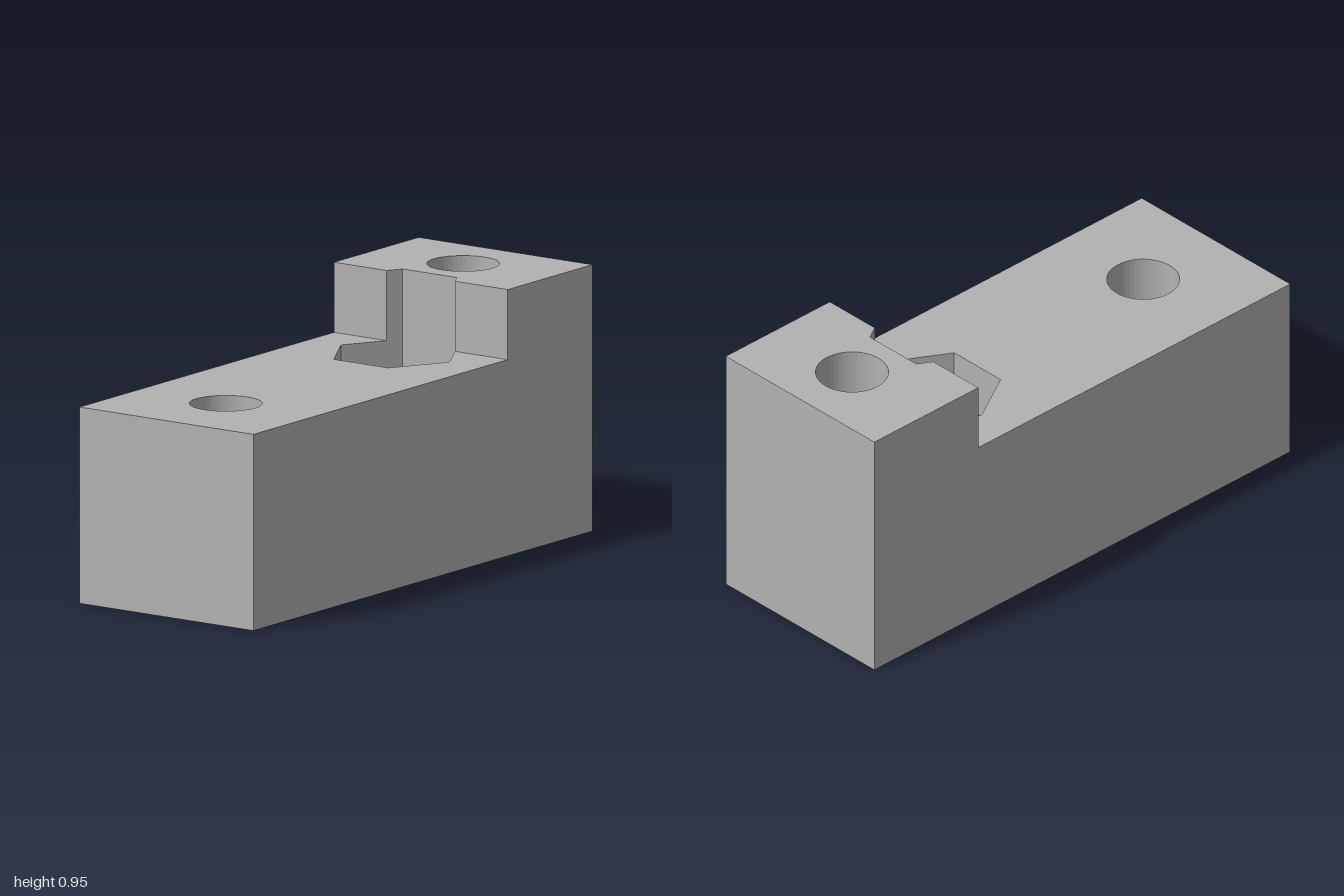
import * as THREE from 'three';

const W = 0.375;          // half depth of the block
const LOW = 0.7, HIGH = 0.95;  // ledge and raised end heights
const STEP = 0.5;         // x where the raised end begins
const HOLE = 0.127, HEX = 0.234; // bolt hole and nut pocket radii
const NUT_A = 0.35, NUT_B = 0.75, BOLT = -0.65; // hole centres in x
const FLOOR_A = 0.5, FLOOR_B = 0.175; // nut pocket floor heights

// Counter-clockwise ring seen from above
function ring(cx, r, n, start = 0) {
  return Array.from({ length: n }, (_, i) => {
    const a = start + (i / n) * Math.PI * 2;
    return new THREE.Vector2(cx + r * Math.cos(a), r * Math.sin(a));
  });
}
const circle = (cx) => ring(cx, HOLE, 48);
const hexagon = (cx) => ring(cx, HEX, 6, Math.PI / 6);
const pts = (list) => list.map(([x, y]) => new THREE.Vector2(x, y));

// Flat horizontal face with openings
function cap(outline, holes, y, up) {
  const shape = new THREE.Shape(outline);
  shape.holes = holes.map((h) => new THREE.Path(h));
  return new THREE.ShapeGeometry(shape).rotateX(up ? -Math.PI / 2 : Math.PI / 2).translate(0, y, 0);
}

// Vertical walls facing the left-hand side of a path
function walls(path, y0, y1, closed = true) {
  const pos = [];
  const count = closed ? path.length : path.length - 1;
  for (let i = 0; i < count; i++) {
    const a = path[i], b = path[(i + 1) % path.length];
    const a0 = [a.x, y0, -a.y], a1 = [a.x, y1, -a.y];
    const b0 = [b.x, y0, -b.y], b1 = [b.x, y1, -b.y];
    pos.push(...b0, ...a0, ...a1, ...b0, ...a1, ...b1);
  }
  const g = new THREE.BufferGeometry();
  g.setAttribute('position', new THREE.Float32BufferAttribute(pos, 3));
  g.computeVertexNormals();
  return g;
}

// Stepped side silhouette
function profile(s) {
  return new THREE.ShapeGeometry(new THREE.Shape(pts([
    [-s, 0], [s, 0], [s, HIGH], [s * STEP, HIGH], [s * STEP, LOW], [-s, LOW],
  ])));
}

export function createModel() {
  const model = new THREE.Group();
  model.name = 'steppedClampBlock';
  const grey = new THREE.MeshStandardMaterial({ color: 0xb2b2b2 });
  grey.name = 'plain grey';
  const add = (name, geometry) => {
    const mesh = new THREE.Mesh(geometry, grey);
    mesh.name = name;
    model.add(mesh);
  };

  const hx = HEX * Math.cos(Math.PI / 6);
  const left = NUT_A - hx, right = NUT_A + hx, half = HEX / 2;
  const cut = half + ((right - STEP) / hx) * half; // where the pocket crosses the step

  // Outer faces
  add('frontFace', profile(1).translate(0, 0, W));
  add('backFace', profile(-1).rotateY(Math.PI).translate(0, 0, -W));
  add('tallEnd', walls(pts([[1, W], [1, -W]]), 0, HIGH, false));
  add('lowEnd', walls(pts([[-1, -W], [-1, W]]), 0, LOW, false));
  add('underside', cap(pts([[-1, -W], [1, -W], [1, W], [-1, W]]),
    [circle(BOLT), circle(NUT_A), hexagon(NUT_B)], 0, false));

  // Ledge and raised end, both notched by the nut pocket
  add('ledge', cap(pts([
    [-1, -W], [STEP, -W], [STEP, -cut], [NUT_A, -HEX], [left, -half],
    [left, half], [NUT_A, HEX], [STEP, cut], [STEP, W], [-1, W],
  ]), [circle(BOLT)], LOW, true));
  add('raisedTop', cap(pts([
    [STEP, -W], [1, -W], [1, W], [STEP, W],
    [STEP, cut], [right, half], [right, -half], [STEP, -cut],
  ]), [circle(NUT_B)], HIGH, true));
  add('notchedStep', walls(pts([
    [STEP, -W], [STEP, -cut], [right, -half], [right, half], [STEP, cut], [STEP, W],
  ]), LOW, HIGH, false));

  // Nut pockets
  add('upperPocketWalls', walls(hexagon(NUT_A), FLOOR_A, LOW));
  add('upperPocketFloor', cap(hexagon(NUT_A), [circle(NUT_A)], FLOOR_A, true));
  add('lowerPocketWalls', walls(hexagon(NUT_B), 0, FLOOR_B));
  add('lowerPocketFloor', cap(hexagon(NUT_B), [circle(NUT_B)], FLOOR_B, false));

  // Bolt holes
  add('plainBoltHole', walls(circle(BOLT), 0, LOW));
  add('middleBoltHole', walls(circle(NUT_A), 0, FLOOR_A));
  add('endBoltHole', walls(circle(NUT_B), FLOOR_B, HIGH));

  return model;
}
